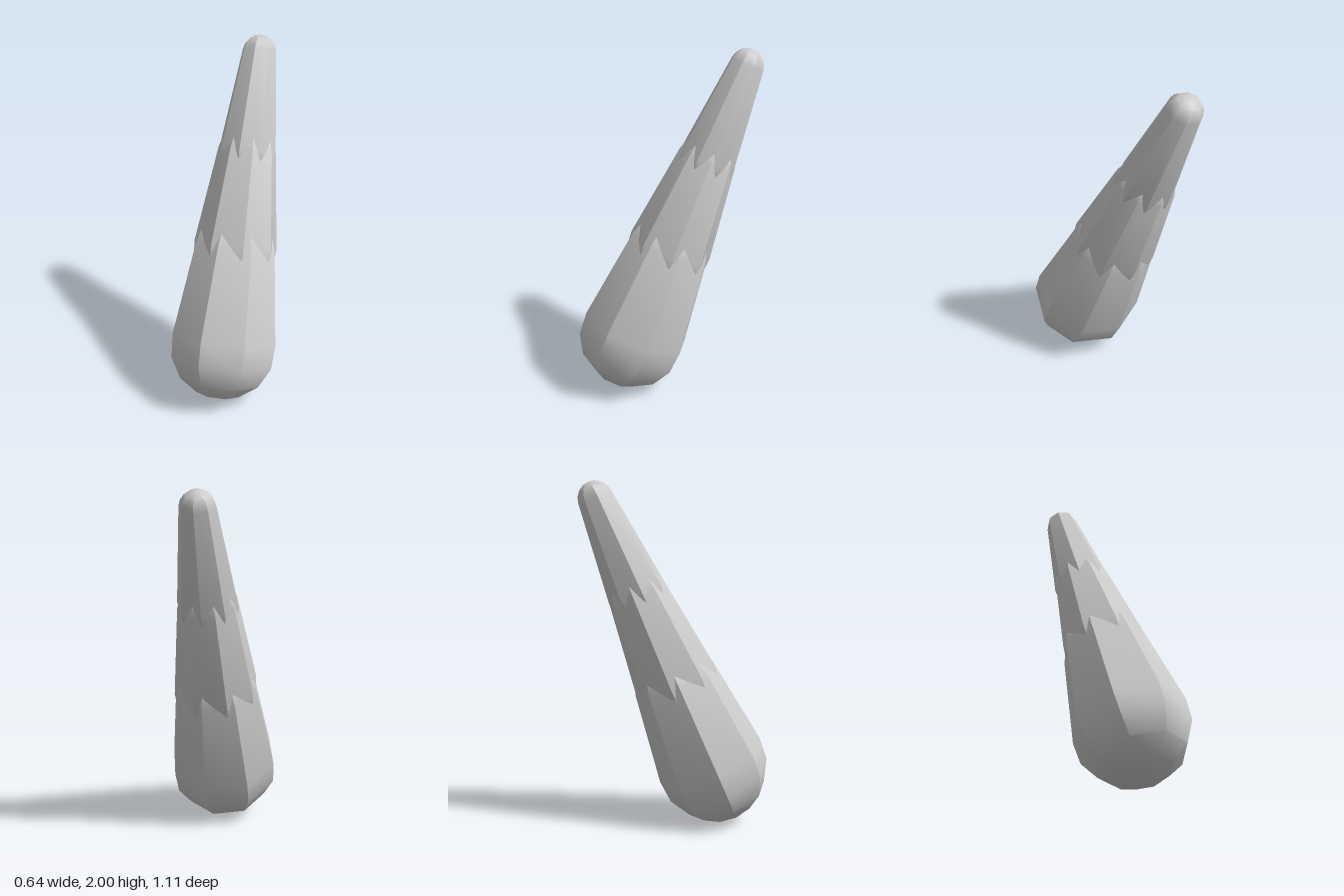
import * as THREE from 'three';
import { toCreasedNormals } from 'three/addons/utils/BufferGeometryUtils.js';

const SIDES = 8;
const CAP_STEPS = 4;

// Tapered capsule around y: sphere r0 at y0, sphere r1 at y1, joined by their tangent cone
function taperedCapsule(y0, r0, y1, r1, turnDegrees) {
  const taper = Math.asin((r0 - r1) / (y1 - y0));
  const points = [];
  const addArc = (y, r, from, to) => {
    for (let i = 0; i <= CAP_STEPS; i++) {
      const a = from + (to - from) * i / CAP_STEPS;
      const radius = Math.abs(Math.cos(a)) < 1e-6 ? 0 : r * Math.cos(a);
      points.push(new THREE.Vector2(radius, y + r * Math.sin(a)));
    }
  };
  addArc(y0, r0, -Math.PI / 2, taper);
  addArc(y1, r1, taper, Math.PI / 2);
  const lathe = new THREE.LatheGeometry(points, SIDES, THREE.MathUtils.degToRad(turnDegrees));
  return toCreasedNormals(lathe, 0.6);
}

export function createModel() {
  const model = new THREE.Group();
  model.name = 'segmentedHorn';

  const grey = new THREE.MeshStandardMaterial({ color: 0xcccccc });
  grey.name = 'plain grey';

  // Joint spheres along the leaning axis: distance and radius
  const joints = [[0, 0.327], [0.56, 0.248], [1.13, 0.171], [1.712, 0.1]];
  const names = ['lowerSegment', 'middleSegment', 'tipSegment'];
  const turns = [-8, -19, 0];

  // Segments share their joint spheres, each twisted a little differently
  const horn = new THREE.Group();
  horn.name = 'leaningSegments';
  names.forEach((name, i) => {
    const mesh = new THREE.Mesh(taperedCapsule(...joints[i], ...joints[i + 1], turns[i]), grey);
    mesh.name = name;
    horn.add(mesh);
  });

  // Lean backwards
  horn.rotation.x = -Math.atan2(0.4, 0.917);
  horn.position.set(0, 0.33, 0.23);
  model.add(horn);
  return model;
}
